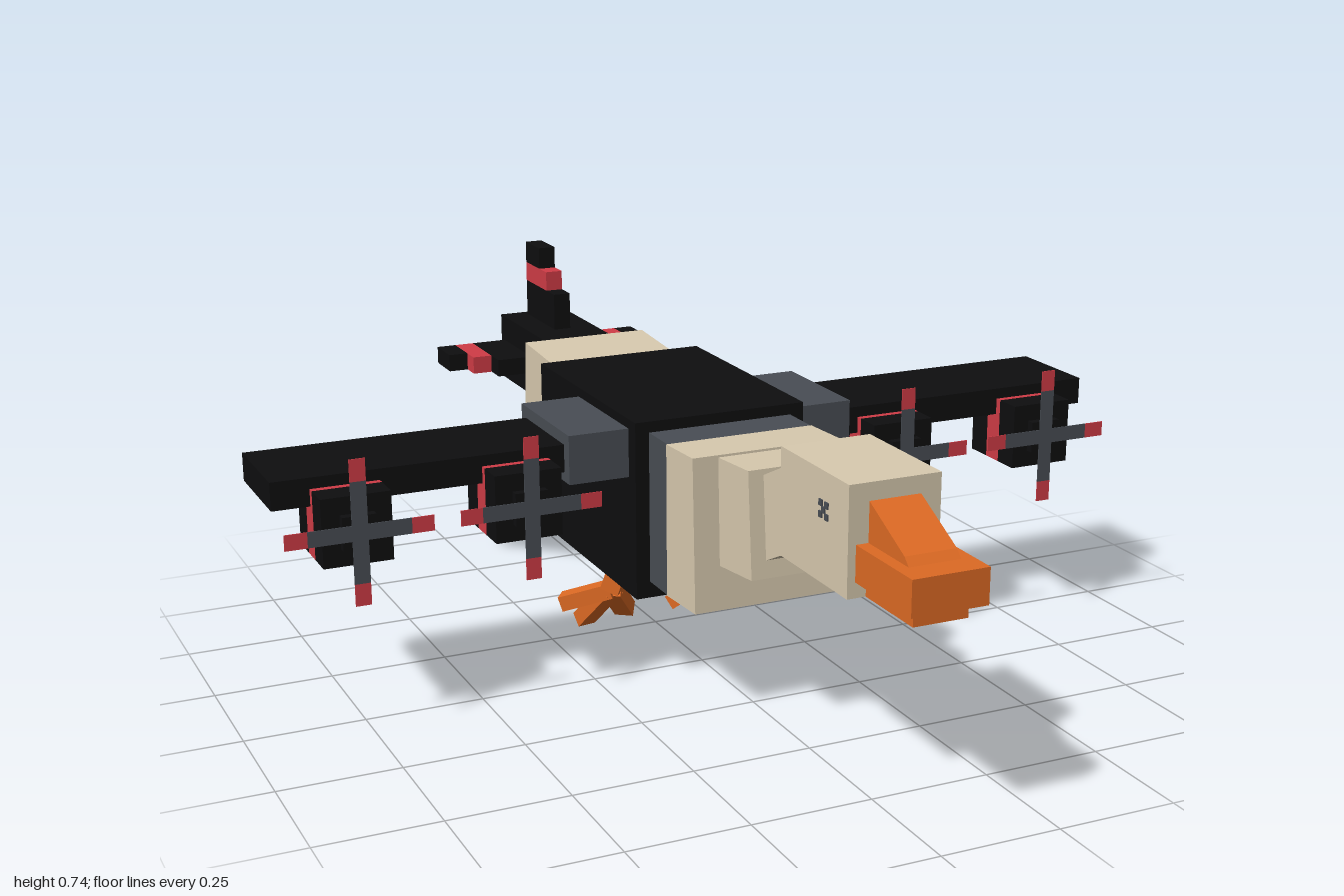
import * as THREE from 'three';

const mat = (name, color) => {
  const m = new THREE.MeshStandardMaterial({ color, side: THREE.DoubleSide });
  m.name = name;
  return m;
};

export function createModel() {
  const black = mat('black', 0x0e0e0f);
  const grey = mat('slate grey', 0x484d54);
  const cream = mat('cream', 0xd8caaf);
  const orange = mat('orange', 0xdd6a24);
  const red = mat('red', 0xd03c46);
  const model = new THREE.Group();

  const add = (name, geo, m, parent = model) => {
    const mesh = new THREE.Mesh(geo, m);
    mesh.name = name;
    parent.add(mesh);
    return mesh;
  };
  // Box given by its limits on each axis
  const box = (name, m, [x0, x1], [y0, y1], [z0, z1], parent) => {
    const g = new THREE.BoxGeometry(x1 - x0, y1 - y0, z1 - z0);
    g.translate((x0 + x1) / 2, (y0 + y1) / 2, (z0 + z1) / 2);
    return add(name, g, m, parent);
  };
  // Side profile of [z, y] points, extruded to a width across x
  const profile = (name, m, halfWidth, pts) => {
    const shape = new THREE.Shape(pts.map(([z, y]) => new THREE.Vector2(z, y)));
    const g = new THREE.ExtrudeGeometry(shape, { depth: halfWidth * 2, bevelEnabled: false });
    g.translate(0, 0, -halfWidth).rotateY(-Math.PI / 2);
    return add(name, g, m);
  };
  // Square bar between two points
  const bar = (name, m, from, to, w, h, parent) => {
    const a = new THREE.Vector3(...from), b = new THREE.Vector3(...to);
    const mesh = add(name, new THREE.BoxGeometry(w, h, a.distanceTo(b)), m, parent);
    mesh.position.copy(a).add(b).multiplyScalar(0.5);
    mesh.lookAt(b);
    return mesh;
  };

  // Beak and head
  profile('beakCrest', orange, 0.052, [[0.8, 0.54], [0.945, 0.54], [0.93, 0.555], [0.8, 0.62]]);
  box('upperBeak', orange, [-0.077, 0.077], [0.47, 0.54], [0.8, 1]);
  box('lowerBeak', orange, [-0.055, 0.055], [0.44, 0.47], [0.8, 0.97]);
  box('head', cream, [-0.093, 0.093], [0.44, 0.652], [0.545, 0.805]);

  // Neck
  profile('upperNeck', cream, 0.075, [[0.41, 0.38], [0.45, 0.395], [0.55, 0.443], [0.56, 0.62], [0.54, 0.612], [0.42, 0.555]]);
  profile('middleNeck', cream, 0.107, [[0.3, 0.343], [0.455, 0.36], [0.437, 0.575], [0.3, 0.565]]);
  profile('lowerNeck', cream, 0.162, [[0.18, 0.245], [0.317, 0.252], [0.305, 0.57], [0.18, 0.565]]);
  box('collar', grey, [-0.16, 0.16], [0.245, 0.565], [0.08, 0.182]);

  // Body and rump
  box('body', black, [-0.19, 0.19], [0.21, 0.588], [-0.44, 0.09]);
  profile('rump', cream, 0.147, [[-0.43, 0.275], [-0.43, 0.568], [-0.655, 0.583], [-0.672, 0.298]]);

  // Tail boom and fin
  box('tailBoom', black, [-0.082, 0.082], [0.415, 0.57], [-1, -0.65]);
  box('fin', black, [-0.02, 0.02], [0.57, 0.655], [-0.98, -0.795]);
  box('finBand', red, [-0.02, 0.02], [0.655, 0.7], [-0.98, -0.845]);
  box('finTip', black, [-0.02, 0.02], [0.7, 0.75], [-0.98, -0.89]);

  // Fan of tapered tail feathers
  const fan = new THREE.Group();
  fan.name = 'tailFan';
  fan.position.set(0, 0.365, -0.42);
  fan.rotation.x = -0.32;
  model.add(fan);
  for (let i = -3; i <= 3; i++) {
    const g = new THREE.BoxGeometry(0.086, 0.036, 0.4);
    g.translate(0, 0, -0.33);
    const p = g.attributes.position;
    for (let k = 0; k < p.count; k++) {
      if (p.getZ(k) > -0.3) p.setX(k, p.getX(k) * 0.4);
    }
    g.computeVertexNormals();
    const feather = add('tailFeather', g, cream, fan);
    feather.rotation.y = i * 0.165;
    feather.position.y = -Math.abs(i) * 0.002;
  }

  // Paired parts
  for (const s of [1, -1]) {
    const span = (a, b) => (s > 0 ? [a, b] : [-b, -a]);

    // Eye of small square patches
    for (const [dz, dy] of [[0, 0], [-0.011, 0.011], [0.011, 0.011], [-0.011, -0.011], [0.011, -0.011]]) {
      box('eye', grey, span(0.092, 0.096), [0.574 + dy, 0.586 + dy], [0.709 + dz, 0.721 + dz]);
    }

    // Stabiliser
    box('stabiliser', black, span(0.08, 0.165), [0.47, 0.51], [-0.98, -0.795]);
    box('stabiliserBand', red, span(0.165, 0.21), [0.47, 0.51], [-0.98, -0.845]);
    box('stabiliserTip', black, span(0.21, 0.255), [0.47, 0.51], [-0.98, -0.89]);

    // Wing
    box('wingRoot', grey, span(0.18, 0.32), [0.465, 0.568], [-0.215, 0.055]);
    box('wing', black, span(0.32, 0.922), [0.485, 0.543], [-0.19, 0.028]);

    // Engines and four-bladed propellers
    for (const x of [0.425, 0.775]) {
      const engine = new THREE.Group();
      engine.name = 'engine';
      engine.position.set(s * x, 0.45, 0);
      model.add(engine);
      const side = [-0.07, 0.07];
      box('engineRear', black, side, side, [-0.065, -0.005], engine);
      box('engineBand', red, side, side, [-0.005, 0.043], engine);
      box('engineFront', black, side, side, [0.043, 0.102], engine);
      box('propellerHub', black, [-0.034, 0.034], [-0.034, 0.034], [0.102, 0.12], engine);
      for (let k = 0; k < 4; k++) {
        const blade = new THREE.Group();
        blade.name = 'propellerBlade';
        blade.rotation.z = k * Math.PI / 2;
        engine.add(blade);
        box('bladeArm', grey, [-0.016, 0.016], [0, 0.103], [0.12, 0.122], blade);
        box('bladeTip', red, [-0.016, 0.016], [0.103, 0.148], [0.12, 0.122], blade);
      }
    }

    // Leg and webless foot with splayed toes
    const ankle = [s * 0.13, 0.13, -0.19];
    bar('leg', orange, [s * 0.1, 0.24, -0.165], ankle, 0.05, 0.042);
    for (const toe of [[0.06, 0.04, -0.285], [0.15, 0.022, -0.31], [0.222, 0.092, -0.255]]) {
      bar('toe', orange, ankle, [s * toe[0], toe[1], toe[2]], 0.042, 0.034);
    }
  }
  return model;
}
